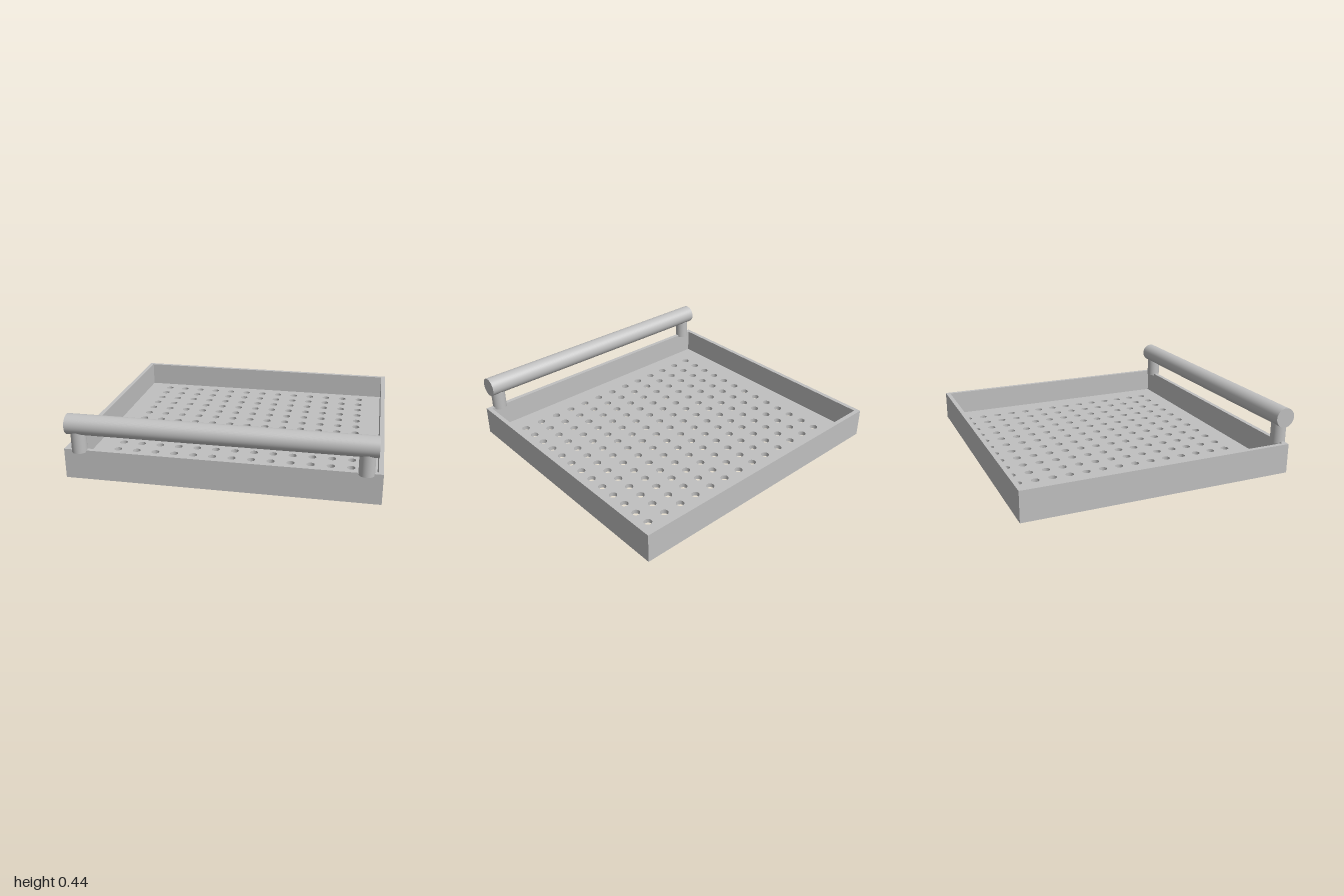
import * as THREE from 'three';

const BACK = -0.935, FRONT = 0.885, HALF_W = 1, WALL = 0.03;
const HEIGHT = 0.2, FLOOR = 0.03;

// Rectangle in plan (x, z), inset from the tray outline
function outline(Type, inset) {
  const x = HALF_W - inset, z0 = BACK + inset, z1 = FRONT - inset;
  const path = new Type();
  path.moveTo(-x, z0);
  path.lineTo(x, z0);
  path.lineTo(x, z1);
  path.lineTo(-x, z1);
  path.closePath();
  return path;
}

// Extrude a plan shape from y = 0 up to the given height
function slab(shape, height) {
  const geo = new THREE.ExtrudeGeometry(shape, { depth: height, bevelEnabled: false, curveSegments: 16 });
  geo.rotateX(Math.PI / 2);
  geo.translate(0, height, 0);
  return geo;
}

export function createModel() {
  const model = new THREE.Group();
  model.name = 'perforatedTray';
  const steel = new THREE.MeshStandardMaterial({ color: 0xc0c0c0 });
  steel.name = 'steel grey';

  function add(name, geometry, x = 0, y = 0, z = 0) {
    const mesh = new THREE.Mesh(geometry, steel);
    mesh.name = name;
    mesh.position.set(x, y, z);
    model.add(mesh);
    return mesh;
  }

  // Rim walls
  const rim = outline(THREE.Shape, 0);
  rim.holes.push(outline(THREE.Path, WALL));
  add('trayWalls', slab(rim, HEIGHT));

  // Floor with a 13 x 14 grid of drain holes
  const floor = outline(THREE.Shape, WALL);
  for (let i = 0; i < 13; i++) {
    for (let j = 0; j < 14; j++) {
      const hole = new THREE.Path();
      hole.absarc(-0.8 + (i * 1.6) / 12, -0.808 + (j * 1.513) / 13, 0.027, 0, Math.PI * 2, true);
      floor.holes.push(hole);
    }
  }
  add('trayFloor', slab(floor, FLOOR));

  // Handle bar and its two posts
  const bar = new THREE.CylinderGeometry(0.066, 0.066, 1.934, 48);
  bar.rotateZ(Math.PI / 2);
  add('handleBar', bar, 0, 0.37, 0.869);
  for (const side of [-1, 1]) {
    add(side > 0 ? 'leftHandlePost' : 'rightHandlePost',
      new THREE.CylinderGeometry(0.049, 0.049, 0.173, 32), side * 0.9, 0.2735, 0.87);
  }
  return model;
}
